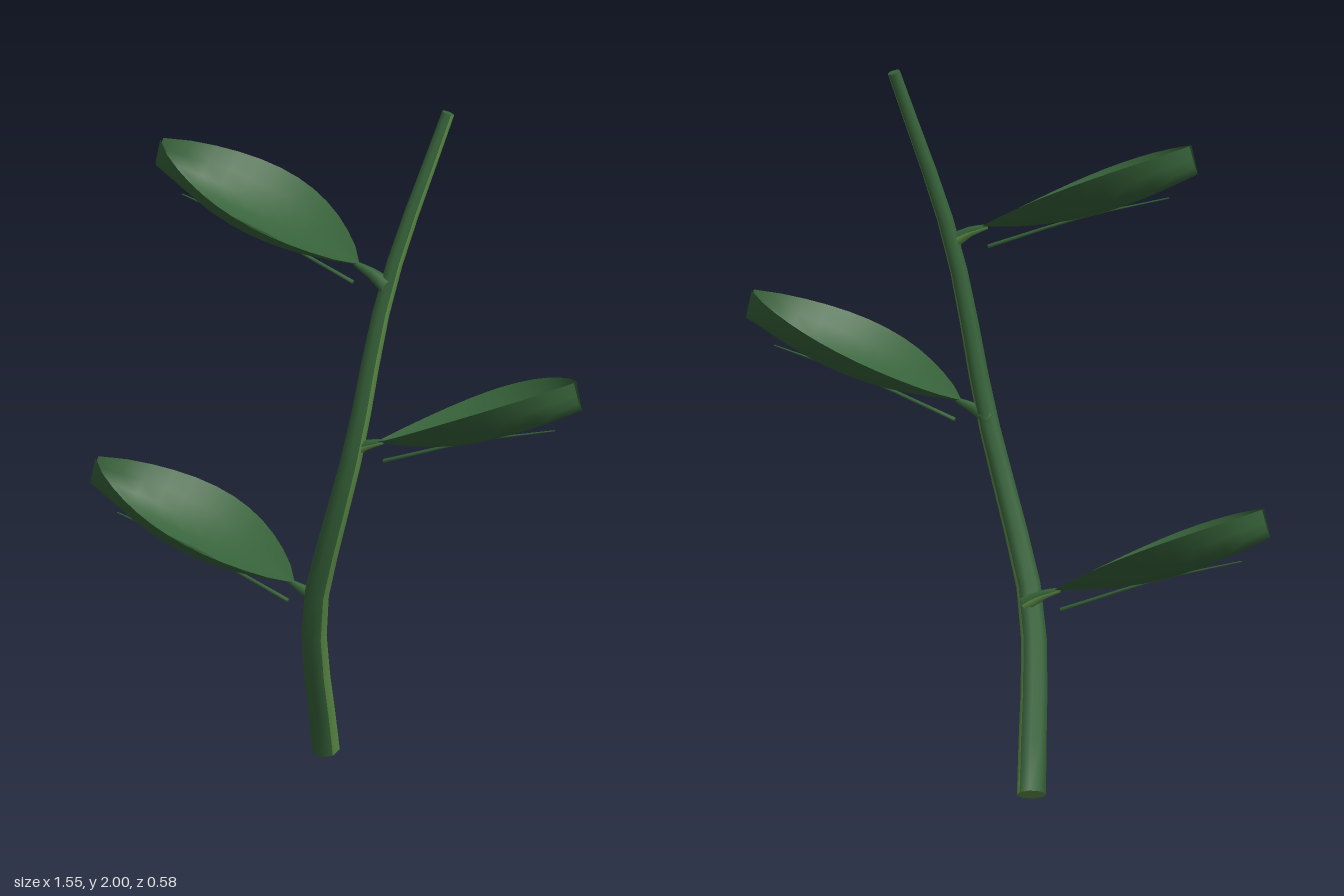
import * as THREE from 'three';

const V = (x, y, z) => new THREE.Vector3(x, y, z);
const leafGreen = new THREE.MeshStandardMaterial({ color: 0x37633a, side: THREE.DoubleSide });
leafGreen.name = 'leaf green';
const lightGreen = new THREE.MeshStandardMaterial({ color: 0x5f9148, side: THREE.DoubleSide });
lightGreen.name = 'light stem green';

// Tapered, capped tube; `striped` sides centred on the direction `ref` get the second material
function taperedTube(name, points, r0, r1, ref, steps, sides, striped) {
  const curve = new THREE.CatmullRomCurve3(points);
  const pos = [], plain = [], stripe = [];
  const ring = (t) => {
    const c = curve.getPointAt(t), tan = curve.getTangentAt(t);
    const side = ref.clone().addScaledVector(tan, -ref.dot(tan)).normalize();
    const up = tan.clone().cross(side);
    const r = r0 + (r1 - r0) * t;
    const start = pos.length / 3;
    for (let j = 0; j < sides; j++) {
      const a = ((j - striped / 2) / sides) * Math.PI * 2;
      const p = c.clone().addScaledVector(side, r * Math.cos(a)).addScaledVector(up, r * Math.sin(a));
      pos.push(p.x, p.y, p.z);
    }
    return start;
  };
  for (let i = 0; i <= steps; i++) ring(i / steps);
  for (let i = 0; i < steps; i++) {
    for (let j = 0; j < sides; j++) {
      const k = (j + 1) % sides, lo = i * sides, hi = lo + sides;
      (j < striped ? stripe : plain).push(lo + j, lo + k, hi + k, lo + j, hi + k, hi + j);
    }
  }
  // End caps on their own vertices
  const b = ring(0), e = ring(1);
  for (let j = 1; j < sides - 1; j++) {
    plain.push(e, e + j, e + j + 1);
    (striped ? stripe : plain).push(b, b + j + 1, b + j);
  }
  const g = new THREE.BufferGeometry();
  g.setAttribute('position', new THREE.Float32BufferAttribute(pos, 3));
  g.setIndex([...plain, ...stripe]);
  g.addGroup(0, plain.length, 0);
  g.addGroup(plain.length, stripe.length, 1);
  g.computeVertexNormals();
  const mesh = new THREE.Mesh(g, [leafGreen, lightGreen]);
  mesh.name = name;
  return mesh;
}

// Cupped blade: sagging midline, raised edges that pinch together at the tip
function bladeGeometry() {
  const g = new THREE.PlaneGeometry(1, 1, 8, 12);
  const p = g.attributes.position;
  const length = 0.642, dx = -0.95, dz = 0.312;
  for (let i = 0; i < p.count; i++) {
    const u = p.getX(i) * 2, t = p.getY(i) + 0.5;
    const arc = Math.max(0, Math.sin(Math.PI * t));
    const width = u * (0.19 * Math.pow(arc, 0.8) + 0.008 * t);
    const lift = (0.08 * t + 0.06 * arc) * u * u;
    const along = length * t - 0.25 * lift;
    p.setXYZ(i, dx * along - dz * width, 0.19 * t - 0.045 * arc + lift, dz * along + dx * width);
  }
  g.computeVertexNormals();
  return g;
}

export function createModel() {
  const model = new THREE.Group();
  model.name = 'leafyStem';

  // Bowed stem
  model.add(taperedTube('stem', [
    V(-0.237, 0.018, -0.187), V(-0.085, 0.5, 0), V(0.03, 0.8, 0.03), V(0.1, 1.03, 0.025),
    V(0.175, 1.5, -0.03), V(0.262, 1.997, -0.18),
  ], 0.041, 0.018, V(0.87, 0, -0.5), 14, 8, 2));

  // Three alternating leaves, each with a stalk and a rib hanging under the blade
  const blade = bladeGeometry();
  const spots = [[-0.165, 0.56, 0], [0.165, 1.055, Math.PI], [0.095, 1.555, 0]];
  for (const [x, y, turn] of spots) {
    const leaf = new THREE.Group();
    leaf.name = 'leaf';
    const bladeMesh = new THREE.Mesh(blade, leafGreen);
    bladeMesh.name = 'leafBlade';
    leaf.add(
      bladeMesh,
      taperedTube('leafStalk', [V(0.085, -0.048, -0.022), V(0.04, -0.02, -0.01), V(-0.015, 0, 0.004)],
        0.024, 0.008, V(0.4, -1, -0.5), 4, 6, 2),
      taperedTube('leafRib', [V(-0.02, -0.055, 0.006), V(-0.28, 0.045, 0.092), V(-0.53, 0.118, 0.174)],
        0.006, 0.002, V(0, 1, 0), 6, 5, 0),
    );
    leaf.position.set(x, y, 0);
    leaf.rotation.y = turn;
    model.add(leaf);
  }
  return model;
}
